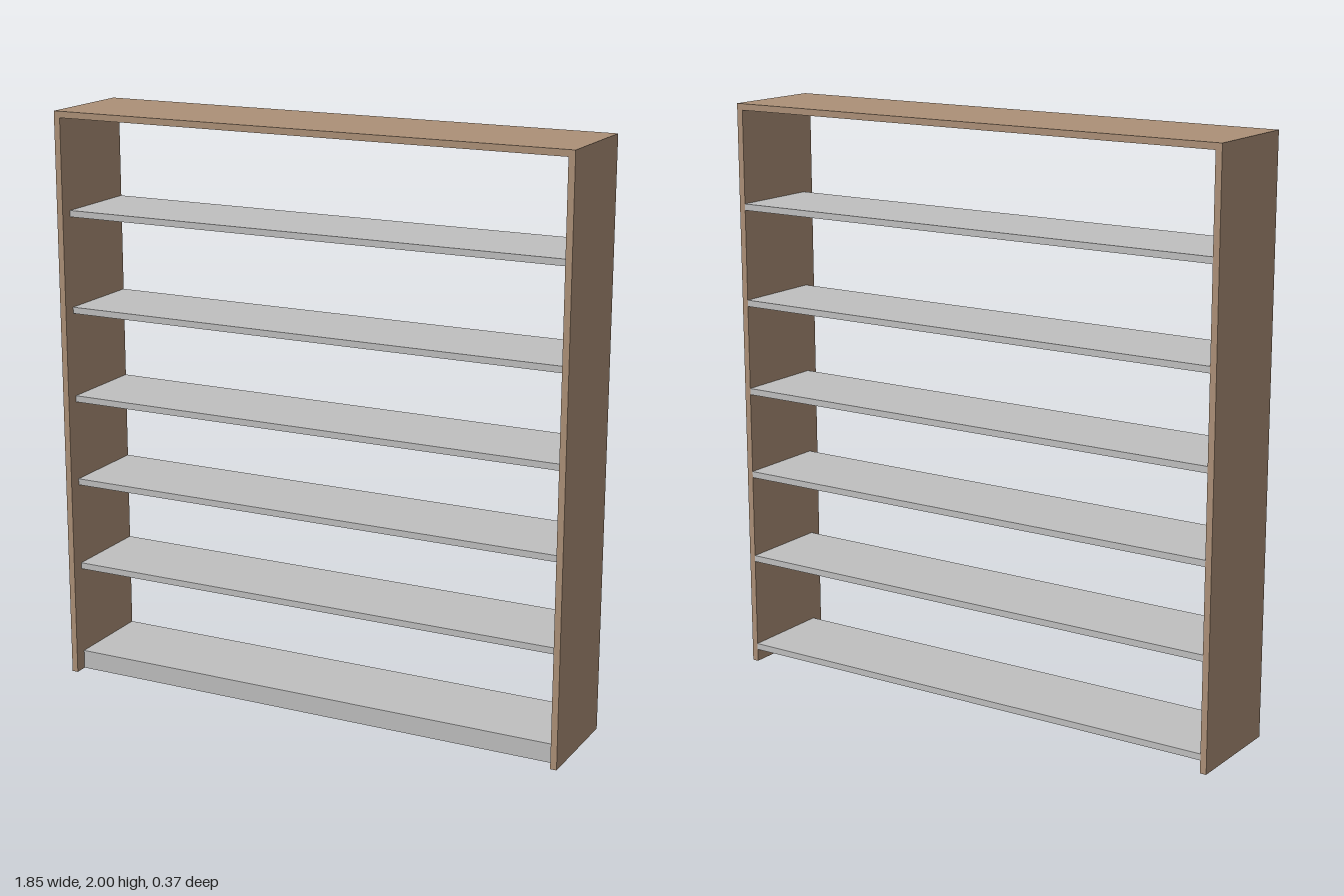
import * as THREE from 'three';

export function createModel() {
  const group = new THREE.Group();
  const wood = new THREE.MeshStandardMaterial({ color: 0xad9178 });
  wood.name = 'brown wood';
  const grey = new THREE.MeshStandardMaterial({ color: 0xc0c0c0 });
  grey.name = 'grey shelf';

  const W = 1.845, H = 2, D = 0.37, T = 0.022; // outer size and board thickness
  const inset = 0.045;                         // shelves sit back from the front edge
  const innerW = W - 2 * T, shelfD = D - inset;

  const board = (name, material, w, h, d, x, y, z) => {
    const mesh = new THREE.Mesh(new THREE.BoxGeometry(w, h, d), material);
    mesh.name = name;
    mesh.position.set(x, y, z);
    group.add(mesh);
  };

  // Outer frame, open at front and back
  for (const [name, s] of [['leftSide', 1], ['rightSide', -1]]) {
    board(name, wood, T, H, D, s * (W - T) / 2, H / 2, 0);
  }
  board('topBoard', wood, innerW, T, D, 0, H - T / 2, 0);

  // Shelves, flush with the back; heights are of their top faces
  const tops = [0.066, 0.398, 0.709, 1.01, 1.324, 1.659];
  tops.forEach((y, i) => {
    board(`shelf${i + 1}`, grey, innerW, T, shelfD, 0, y - T / 2, -inset / 2);
  });

  // Kick board under the front of the lowest shelf
  const kickH = tops[0] - T;
  board('kickBoard', grey, innerW, kickH, T, 0, kickH / 2, D / 2 - inset - T / 2);

  return group;
}
